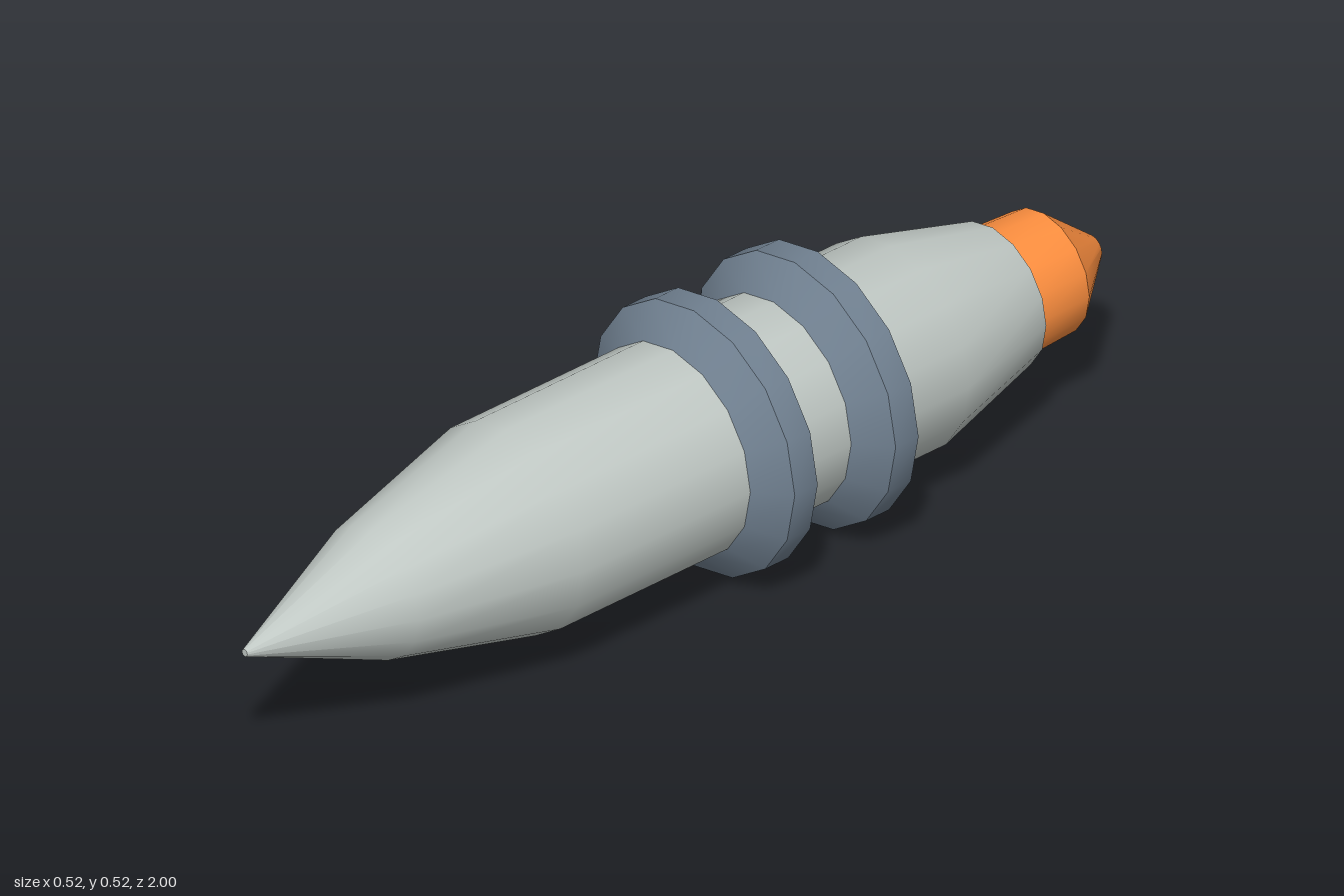
import * as THREE from 'three';
import { toCreasedNormals } from 'three/addons/utils/BufferGeometryUtils.js';

const SIDES = 16;
const AXIS_Y = 0.26;

// Revolve a [z, radius] profile, listed back to front, around the long axis.
function turned(name, profile, material) {
  const points = profile.map(([z, r]) => new THREE.Vector2(r, z));
  const lathe = new THREE.LatheGeometry(points, SIDES).rotateX(Math.PI / 2);
  const mesh = new THREE.Mesh(toCreasedNormals(lathe, Math.PI / 6), material);
  mesh.name = name;
  mesh.position.y = AXIS_Y;
  return mesh;
}

export function createModel() {
  const hull = new THREE.MeshStandardMaterial({ color: 0xc0c8c4 });
  const slate = new THREE.MeshStandardMaterial({ color: 0x708090 });
  const orange = new THREE.MeshStandardMaterial({ color: 0xff9040 });
  const group = new THREE.Group();
  group.name = 'projectile';

  // Pointed body with a tapered tail and a tiny blunt tip
  group.add(turned('body', [
    [-0.765, 0.138], [-0.525, 0.2], [0.385, 0.2], [0.705, 0.125], [1, 0.007], [1, 0],
  ], hull));

  // Flat plate closing the tail
  group.add(turned('tailPlate', [[-0.765, 0], [-0.765, 0.138]], slate));

  // Two collars: flat at the back, chamfered at the front
  for (const [name, z] of [['frontCollar', -0.01], ['rearCollar', -0.248]]) {
    group.add(turned(name, [
      [z - 0.104, 0.19], [z - 0.104, 0.26], [z - 0.05, 0.26], [z, 0.2], [z, 0.19],
    ], slate));
  }

  // Glowing tail cone with a small flat end
  group.add(turned('tailFlame', [
    [-1, 0], [-1, 0.025], [-0.885, 0.118], [-0.76, 0.124],
  ], orange));

  return group;
}
